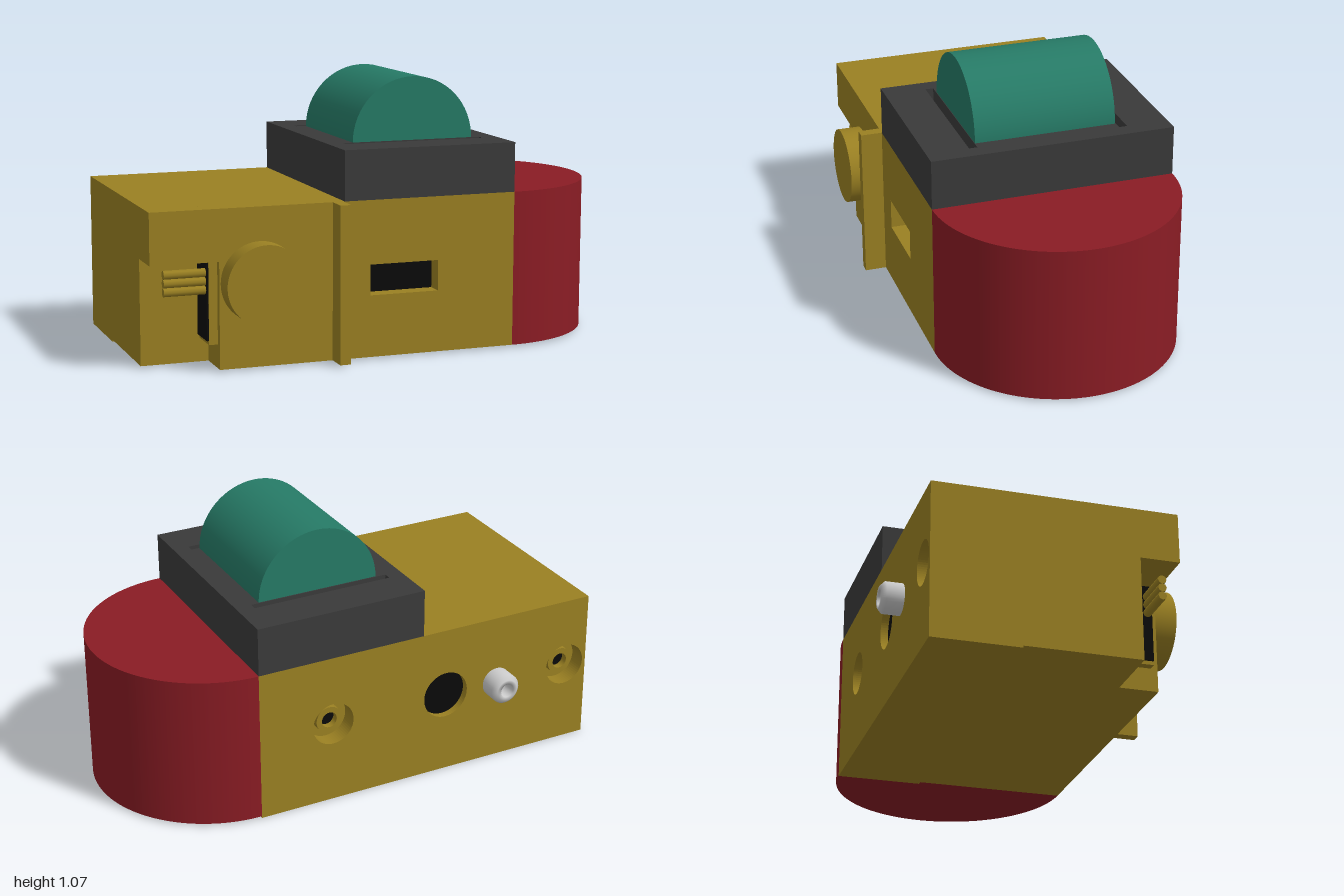
import * as THREE from 'three';

const mat = (color) => new THREE.MeshStandardMaterial({ color });
const gold = mat(0x9a8022), red = mat(0x8a1c24), teal = mat(0x267a66);
const dark = mat(0x3a3a3a), black = mat(0x0a0a0a), grey = mat(0xcccccc);

// Body limits: width, length, base and top
const L = -0.453, R = 0.503, BACK = -0.615, FRONT = 0.852, BASE = 0.008, TOP = 0.62;
const MID = (L + R) / 2, HUB_Y = 0.335, HUB_Z = 0.427;

export function createModel() {
  const model = new THREE.Group();
  const body = new THREE.Group();
  body.name = 'body';
  body.rotation.y = -Math.PI / 6;
  model.add(body);

  const add = (name, geometry, material) => {
    const mesh = new THREE.Mesh(geometry, material);
    mesh.name = name;
    body.add(mesh);
    return mesh;
  };
  const box = (name, x0, x1, y0, y1, z0, z1, material) =>
    add(name, new THREE.BoxGeometry(x1 - x0, y1 - y0, z1 - z0), material)
      .position.set((x0 + x1) / 2, (y0 + y1) / 2, (z0 + z1) / 2);
  // Cylinder lying across the body, from x0 to x1
  const across = (name, r, x0, x1, y, z, material) =>
    add(name, new THREE.CylinderGeometry(r, r, x1 - x0, 64).rotateZ(Math.PI / 2), material)
      .position.set((x0 + x1) / 2, y, z);
  const poly = (points) => new THREE.Shape(points.map(([a, b]) => new THREE.Vector2(a, b)));
  const rect = (a0, a1, b0, b1) => poly([[a0, b0], [a1, b0], [a1, b1], [a0, b1]]);
  const disc = (a, b, r) => new THREE.Shape().absarc(a, b, r, 0, Math.PI * 2);
  const extrude = (shape, depth) =>
    new THREE.ExtrudeGeometry(shape, { depth, bevelEnabled: false, curveSegments: 32 });
  // Upright panel: shape is drawn in (-z, y) and extruded from x0 to x1
  const panel = (name, shape, x0, x1, material) =>
    add(name, extrude(shape, x1 - x0).rotateY(Math.PI / 2).translate(x0, 0, 0), material);
  // Flat slab: shape is drawn in (x, -z) and extruded from y0 to y1
  const slab = (name, shape, y0, y1, material) =>
    add(name, extrude(shape, y1 - y0).rotateX(-Math.PI / 2).translate(0, y0, 0), material);

  // Core with a notch under the front corner
  const inL = L + 0.07, inR = R - 0.07, notchX = 0.348, notchZ = 0.586, notchY = 0.42;
  slab('lowerCore', poly([[inL, -FRONT], [notchX, -FRONT], [notchX, -notchZ],
    [inR, -notchZ], [inR, -BACK], [inL, -BACK]]), BASE, notchY, gold);
  box('upperCore', inL, inR, notchY, TOP, BACK, FRONT, gold);
  box('basePlate', L, -0.108, 0, BASE, BACK, FRONT, gold);

  // Left side panel with a recessed window
  const leftShape = poly([[-FRONT, notchY], [-notchZ, notchY], [-notchZ, BASE],
    [-BACK, BASE], [-BACK, TOP], [-FRONT, TOP]]);
  leftShape.holes.push(rect(0.016, 0.295, 0.25, 0.37));
  panel('leftPanel', leftShape, inR, R, gold);
  box('windowFloor', inR - 0.01, inR + 0.004, 0.25, 0.37, -0.295, -0.016, black);

  // Right side panel with two screw recesses and a round port
  const screwZ = [-0.304, 0.751], portZ = 0.194;
  const rightShape = rect(-FRONT, -BACK, BASE, TOP);
  screwZ.forEach((z) => rightShape.holes.push(disc(-z, HUB_Y, 0.087)));
  rightShape.holes.push(disc(-portZ, HUB_Y, 0.097));
  panel('rightPanel', rightShape, L, inL, gold);
  across('portFloor', 0.097, L + 0.03, inL, HUB_Y, portZ, black);
  for (const z of screwZ) {
    const ring = disc(-z, HUB_Y, 0.055);
    ring.holes.push(disc(-z, HUB_Y, 0.032));
    panel('screwBoss', ring, inL - 0.035, inL, gold);
    across('screwHole', 0.033, inL - 0.006, inL, HUB_Y, z, black);
  }

  // Hollow shaft with a bevelled tip on the right
  const shaft = [[0.028, 0], [0.028, 0.085], [0.045, 0.085], [0.062, 0.068], [0.062, 0]]
    .map(([r, h]) => new THREE.Vector2(r, h)).reverse();
  const shaftGeo = new THREE.LatheGeometry(shaft, 40).rotateZ(Math.PI / 2);
  const shaftMat = grey.clone();
  shaftMat.side = THREE.DoubleSide;
  add('shaft', shaftGeo, shaftMat).position.set(L, HUB_Y, HUB_Z);
  across('shaftBore', 0.028, L - 0.03, L, HUB_Y, HUB_Z, grey);

  // Knob and vertical rib on the left
  across('knob', 0.154, R, 0.592, HUB_Y, HUB_Z, gold);
  box('rib', R - 0.01, 0.588, BASE, TOP, 0.095, 0.138, gold);

  // Socket and three pins in the front notch
  box('socket', notchX - 0.01, 0.476, 0.1, notchY, notchZ - 0.01, 0.62, gold);
  box('socketFace', notchX, 0.474, 0.115, notchY, 0.61, 0.628, black);
  for (let i = 0; i < 3; i++) {
    const pin = new THREE.CylinderGeometry(0.017, 0.017, 0.17, 8).rotateX(Math.PI / 2);
    add('pin', pin, gold).position.set(0.455, 0.308 + i * 0.033, 0.705);
  }

  // Rounded back end
  add('roundedEnd', new THREE.CylinderGeometry((R - L) / 2, (R - L) / 2, TOP - BASE, 72, 1, false,
    Math.PI / 2, Math.PI), red).position.set(MID, (TOP + BASE) / 2, BACK);

  // Raised housing with a slot at each end of the roller
  const housing = rect(L, R, -0.09, -BACK);
  for (const x of [-0.288, 0.306]) housing.holes.push(rect(x, x + 0.032, -0.025, 0.55));
  slab('housing', housing, TOP, 0.815, dark);
  across('roller', 0.25, -0.252, 0.304, 0.815, -0.266, teal);

  return model;
}
